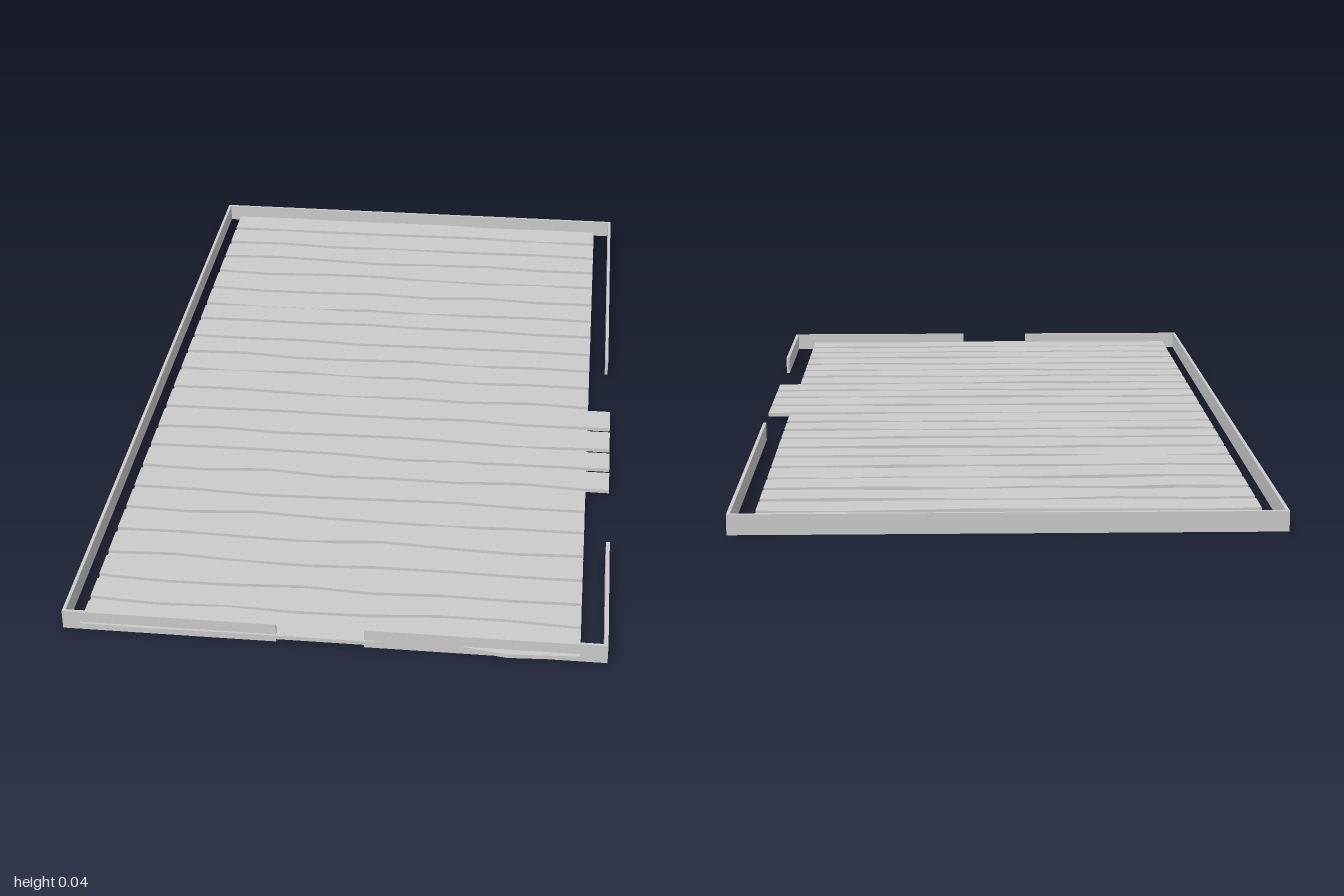
import * as THREE from 'three';

const material = new THREE.MeshStandardMaterial({ color: 0xcccccc, flatShading: true, side: THREE.DoubleSide });

// Seeded value in -1..1
let seed = 11;
function noise() {
  seed = (seed * 16807) % 2147483647;
  return (seed / 2147483647) * 2 - 1;
}

// Box given by its limits
function box(name, x0, x1, y0, y1, z0, z1) {
  const mesh = new THREE.Mesh(new THREE.BoxGeometry(x1 - x0, y1 - y0, z1 - z0), material);
  mesh.position.set((x0 + x1) / 2, (y0 + y1) / 2, (z0 + z1) / 2);
  mesh.name = name;
  return mesh;
}

const LEFT = -0.52, RIGHT = 0.5, STEPS = 7;
const FRONT_EDGE = [0.987, 0.989, 0.987, 0.986, 0.986, 0.974, 0.998, 0.99];

// z of the furrow between each pair of neighbouring strips
const FURROWS = [-0.894, -0.804, -0.714, -0.624, -0.524, -0.429, -0.344, -0.249, -0.164, -0.079,
  0.016, 0.111, 0.206, 0.291, 0.381, 0.471, 0.556, 0.645, 0.735, 0.82, 0.9];

// Wavy edge across the field
function edge(z, amplitude) {
  return Array.from({ length: STEPS + 1 }, (_, i) =>
    z + (i === 0 || i === STEPS ? 0 : noise() * amplitude));
}

// Raised strip between two wavy edges; may run out past the right side
function strip(back, front, end) {
  const xAt = (i) => LEFT + ((RIGHT - LEFT) * i) / STEPS;
  const points = front.map((z, i) => new THREE.Vector2(xAt(i), -z));
  if (end > RIGHT) {
    points.push(new THREE.Vector2(end, -front[STEPS]), new THREE.Vector2(end, -back[STEPS]));
  }
  for (let i = STEPS; i >= 0; i--) points.push(new THREE.Vector2(xAt(i), -back[i]));
  const geometry = new THREE.ExtrudeGeometry(new THREE.Shape(points), { depth: 0.009, bevelEnabled: false });
  geometry.rotateX(-Math.PI / 2);
  const mesh = new THREE.Mesh(geometry, material);
  mesh.position.y = 0.009;
  mesh.name = 'raisedStrip';
  return mesh;
}

export function createModel() {
  const model = new THREE.Group();
  model.name = 'fencedField';

  // Thin ground sheet under the strips
  model.add(box('ground', LEFT, RIGHT, 0.008, 0.011, -0.975, 0.98));

  // Ploughed strips; four of them reach out through the gap in the left fence
  const strips = new THREE.Group();
  strips.name = 'strips';
  const count = FURROWS.length + 1;
  for (let i = 0; i < count; i++) {
    const back = i === 0 ? edge(-0.975, 0.004) : edge(FURROWS[i - 1] + 0.009, 0.009);
    const front = i === count - 1 ? FRONT_EDGE : edge(FURROWS[i] - 0.009, 0.009);
    strips.add(strip(back, front, i >= 11 && i <= 14 ? 0.553 : RIGHT));
  }
  model.add(strips);

  // Low perimeter walls with openings at the front and on the left
  const walls = new THREE.Group();
  walls.name = 'walls';
  const H = 0.042;
  walls.add(
    box('backWall', -0.557, 0.546, 0, H, -1, -0.993),
    box('rightWall', -0.557, -0.55, 0, H, -0.993, 0.975),
    box('leftWallBack', 0.539, 0.546, 0, H, -0.993, -0.19),
    box('leftWallFront', 0.547, 0.555, 0, H, 0.615, 0.975),
    box('frontWallRight', -0.557, -0.115, 0, H, 0.975, 0.982),
    box('frontWallLeft', 0.065, 0.555, 0, H, 0.975, 0.982)
  );
  model.add(walls);
  return model;
}
